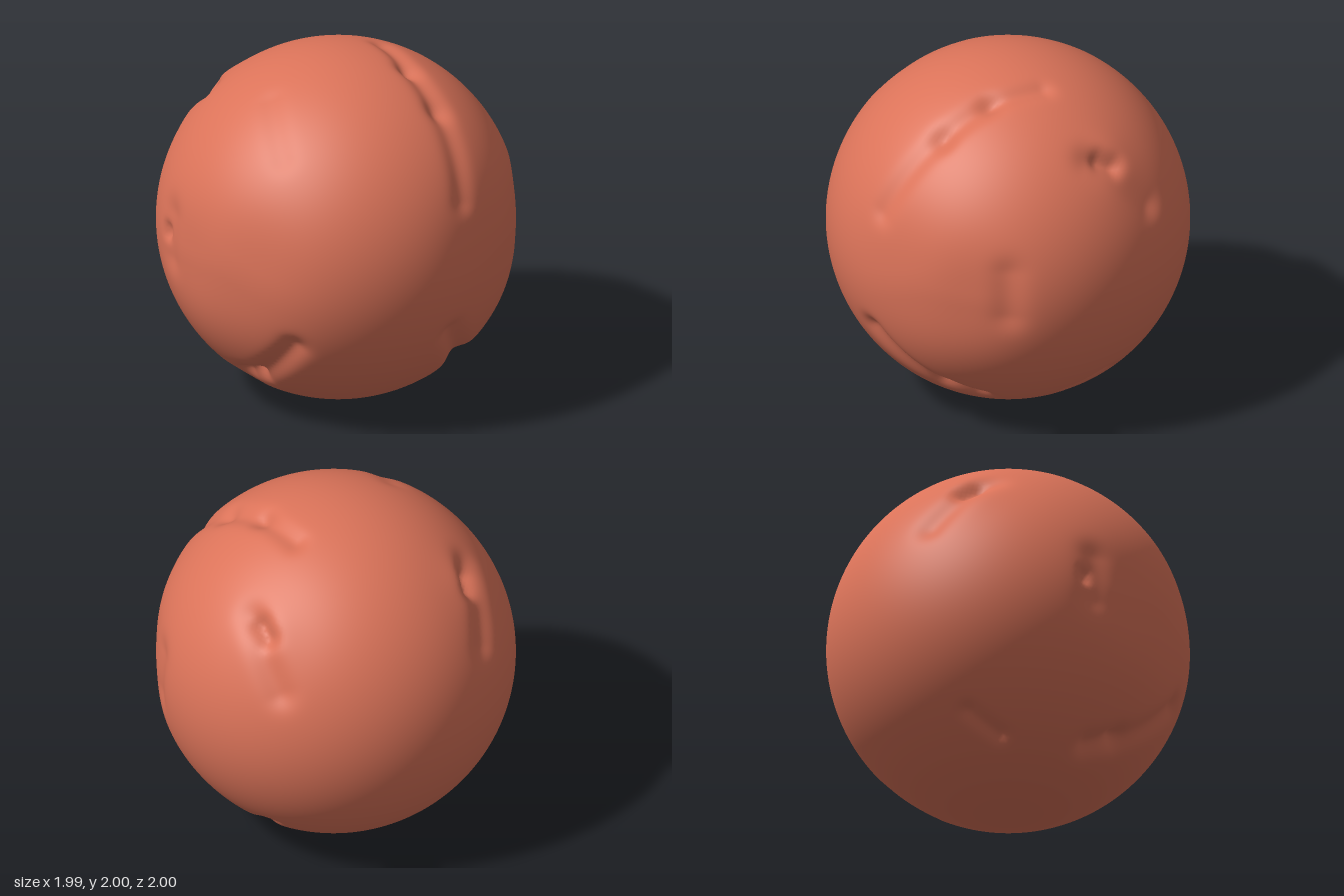
import * as THREE from 'three';
import { mergeVertices } from 'three/addons/utils/BufferGeometryUtils.js';

const V = (x, y, z) => new THREE.Vector3(x, y, z);
const dents = [];

// A soft groove pressed in along the line a-b; equal points make a round pit.
function dent(a, b, width, depth) {
  dents.push({ line: new THREE.Line3(V(...a).normalize(), V(...b).normalize()), width, depth });
}
// The same groove on both sides of the body.
function pair(a, b, width, depth) {
  for (const s of [1, -1]) dent([a[0] * s, a[1], a[2]], [b[0] * s, b[1], b[2]], width, depth);
}

// Coordinates are relative to the centre of the ball.
// Ear sockets: long hollow, raised rim and deep pit
pair([0.62, 0.66, -0.36], [0.59, 0.36, -0.68], 0.085, 0.03);
pair([0.58, 0.64, -0.47], [0.6, 0.58, -0.5], 0.15, -0.015);
pair([0.6, 0.65, -0.43], [0.59, 0.61, -0.5], 0.055, 0.05);
// Arm sockets
pair([0.97, 0.17, 0.12], [0.97, -0.08, 0.12], 0.09, 0.022);
pair([0.94, 0.05, 0.33], [0.94, -0.05, 0.33], 0.24, 0.022);
dent([-0.98, 0.06, 0.06], [-0.98, 0.03, 0.06], 0.035, 0.03);
// Front leg sockets with a groove running up to the face
pair([0.45, -0.4, 0.8], [0.55, -0.7, 0.43], 0.07, 0.04);
pair([0.57, -0.71, 0.4], [0.57, -0.77, 0.24], 0.07, 0.06);
// Rear leg sockets
pair([0.54, -0.79, -0.27], [0.56, -0.69, -0.46], 0.05, 0.04);
// Forehead crease on one side, a faint one on the other
dent([0.29, 0.95, -0.15], [0.36, 0.9, 0.15], 0.06, 0.028);
dent([0.36, 0.9, 0.15], [0.46, 0.77, 0.42], 0.07, 0.03);
dent([0.46, 0.77, 0.42], [0.52, 0.37, 0.76], 0.07, 0.022);
dent([-0.44, 0.85, 0.25], [-0.46, 0.65, 0.6], 0.07, 0.01);
// Broad flattened cheeks
pair([0.68, 0.08, 0.72], [0.72, -0.08, 0.68], 0.3, 0.025);

export function createModel() {
  const group = new THREE.Group();
  const clay = new THREE.MeshStandardMaterial({ color: 0xdb7359 });
  clay.name = 'terracotta';

  let geometry = new THREE.IcosahedronGeometry(1, 54);
  geometry.deleteAttribute('uv');
  geometry.deleteAttribute('normal');
  geometry = mergeVertices(geometry, 1e-5);

  const pos = geometry.attributes.position;
  const p = V(0, 0, 0), near = V(0, 0, 0);
  for (let i = 0; i < pos.count; i++) {
    p.fromBufferAttribute(pos, i).normalize();
    let r = 1;
    for (const { line, width, depth } of dents) {
      line.closestPointToPoint(p, true, near).normalize();
      const d = near.distanceTo(p) / width;
      r -= depth * Math.exp(-d * d);
    }
    p.multiplyScalar(r);
    pos.setXYZ(i, p.x, p.y + 1, p.z);
  }
  geometry.computeVertexNormals();

  const body = new THREE.Mesh(geometry, clay);
  body.name = 'body';
  group.add(body);
  return group;
}
